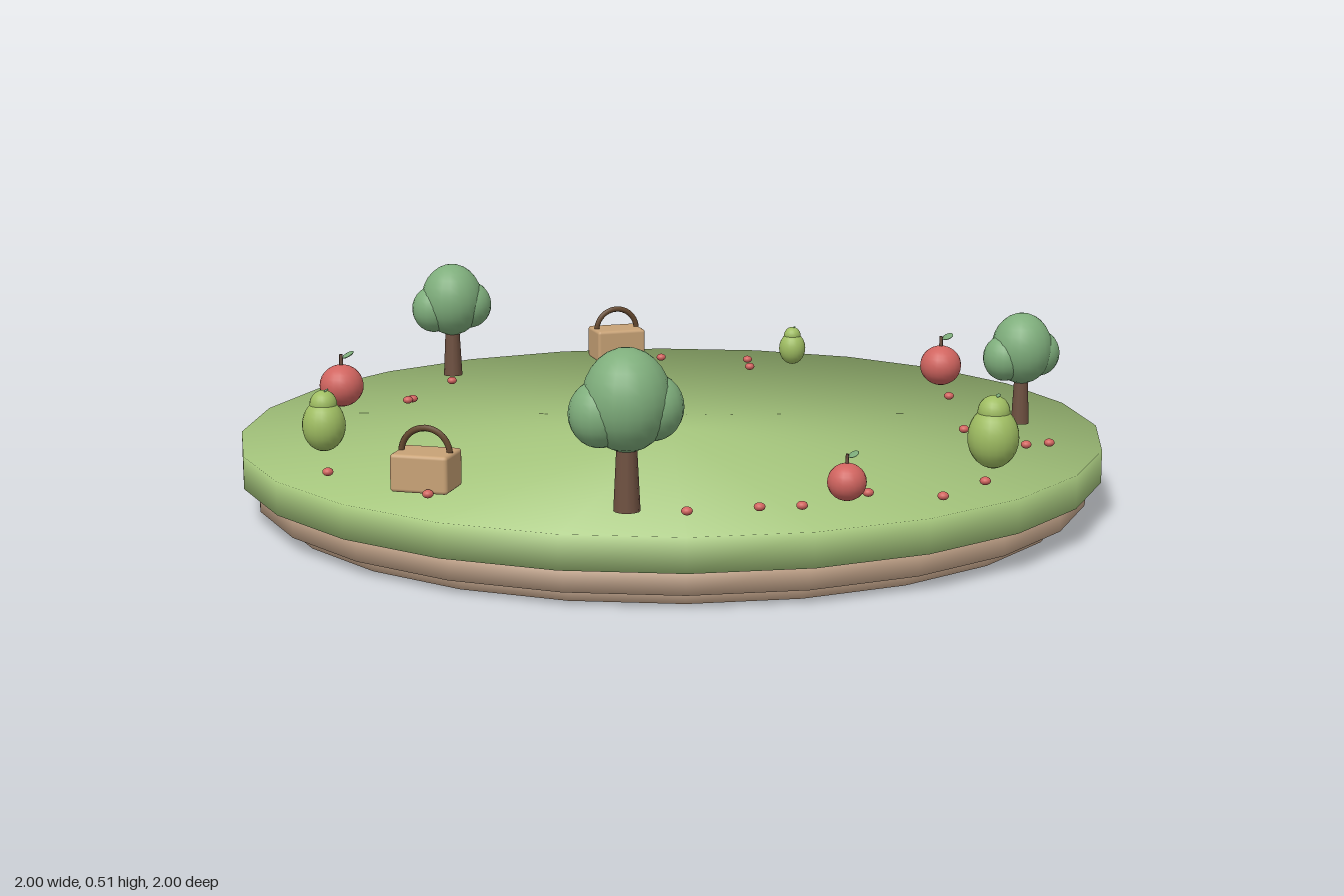
import * as THREE from 'three';
import { RoundedBoxGeometry } from 'three/addons/geometries/RoundedBoxGeometry.js';

const mat = (color) => new THREE.MeshStandardMaterial({ color });
const M = {
  grass: mat(0xa8c97f), soil: mat(0xcbab90), leaf: mat(0x7fae7c), trunk: mat(0x6e5040),
  apple: mat(0xd0645f), pear: mat(0x9fbd62), basket: mat(0xc8a276), handle: mat(0x64482f),
};
const ball = new THREE.SphereGeometry(1, 20, 14);

function add(parent, name, geometry, material, x = 0, y = 0, z = 0) {
  const mesh = new THREE.Mesh(geometry, material);
  mesh.name = name;
  mesh.position.set(x, y, z);
  parent.add(mesh);
  return mesh;
}

function ellipsoid(parent, name, material, [x, y, z], [rx, ry, rz]) {
  const mesh = add(parent, name, ball, material, x, y, z);
  mesh.scale.set(rx, ry, rz);
  return mesh;
}

// 24-sided slab whose normals blend softly between the rim and the caps
function slab(parent, name, material, radius, y0, y1) {
  const g = new THREE.CylinderGeometry(radius, radius, y1 - y0, 24);
  const p = g.attributes.position;
  for (let i = 0; i < p.count; i++) {
    g.attributes.normal.setXYZ(i, 0.77 * p.getX(i) / radius, 0.64 * Math.sign(p.getY(i)), 0.77 * p.getZ(i) / radius);
  }
  add(parent, name, g, material, 0, (y0 + y1) / 2, 0);
}

function tree() {
  const g = new THREE.Group();
  g.name = 'tree';
  add(g, 'trunk', new THREE.CylinderGeometry(0.02, 0.028, 0.16, 12), M.trunk, 0, 0.08, 0);
  ellipsoid(g, 'crown', M.leaf, [0, 0.232, 0], [0.092, 0.108, 0.092]);
  ellipsoid(g, 'leftLobe', M.leaf, [0.053, 0.215, -0.008], [0.065, 0.07, 0.066]);
  ellipsoid(g, 'rightLobe', M.leaf, [-0.055, 0.205, 0.008], [0.065, 0.07, 0.066]);
  return g;
}

// Stem with a tilted leaf, shared by both fruits
function stemAndLeaf(g, y, s) {
  add(g, 'stem', new THREE.CylinderGeometry(0.004 * s, 0.005 * s, 0.03 * s, 8), M.trunk, 0, y, 0);
  const leaf = ellipsoid(g, 'leaf', M.leaf, [0.017 * s, y + 0.014 * s, 0], [0.015 * s, 0.004 * s, 0.03 * s]);
  leaf.rotation.z = 0.45;
}

function apple() {
  const g = new THREE.Group();
  g.name = 'apple';
  ellipsoid(g, 'appleBody', M.apple, [0, 0.053, 0], [0.053, 0.051, 0.053]);
  stemAndLeaf(g, 0.114, 1);
  return g;
}

function pear() {
  const g = new THREE.Group();
  g.name = 'pear';
  ellipsoid(g, 'pearBody', M.pear, [0, 0.066, 0], [0.057, 0.069, 0.057]);
  ellipsoid(g, 'pearNeck', M.pear, [0, 0.122, 0], [0.036, 0.037, 0.036]);
  stemAndLeaf(g, 0.152, 0.45);
  return g;
}

function basket() {
  const g = new THREE.Group();
  g.name = 'basket';
  add(g, 'basketBody', new RoundedBoxGeometry(0.128, 0.082, 0.1, 2, 0.008), M.basket, 0, 0.044, 0);
  add(g, 'basketHandle', new THREE.TorusGeometry(0.054, 0.007, 8, 20, Math.PI), M.handle, 0, 0.08, 0);
  return g;
}

export function createModel() {
  const model = new THREE.Group();
  model.name = 'picnicIsland';

  slab(model, 'grassTop', M.grass, 1, 0.085, 0.16);
  slab(model, 'upperSoil', M.soil, 0.965, 0.03, 0.086);
  slab(model, 'lowerSoil', M.soil, 0.92, 0, 0.04);

  // Ring of eleven props: maker, scale, turn
  const ring = [
    [tree, 0.77, 0.1], [pear, 1, 0], [apple, 0.78, 0], [tree, 1, 0], [basket, 1, -0.29],
    [pear, 0.86, 0], [apple, 1, 0], [tree, 0.84, 0], [basket, 1, 0.28], [pear, 0.6, 0], [apple, 0.97, 0],
  ];
  ring.forEach(([make, scale, turn], i) => {
    const a = (i / ring.length) * Math.PI * 2;
    const prop = make();
    prop.position.set(0.82 * Math.cos(a), 0.168, 0.82 * Math.sin(a));
    prop.scale.setScalar(scale);
    prop.rotation.y = turn;
    model.add(prop);
  });

  // Scattered berries
  const berries = [
    [0, -0.8], [0.225, -0.765], [0.225, -0.668], [0.69, -0.28], [0.675, 0.095], [0.737, 0.267],
    [0.793, 0.26], [0.848, 0.243], [0.65, 0.605], [0.543, 0.735], [0.39, 0.7], [0.243, 0.806],
    [0.155, 0.815], [0.005, 0.845], [-0.53, 0.683], [-0.57, 0.467], [-0.757, 0.476],
    [-0.842, 0.01], [-0.631, -0.275], [-0.62, -0.29], [-0.535, -0.51],
  ];
  for (const [x, z] of berries) ellipsoid(model, 'berry', M.apple, [x, 0.175, z], [0.012, 0.009, 0.012]);

  return model;
}
